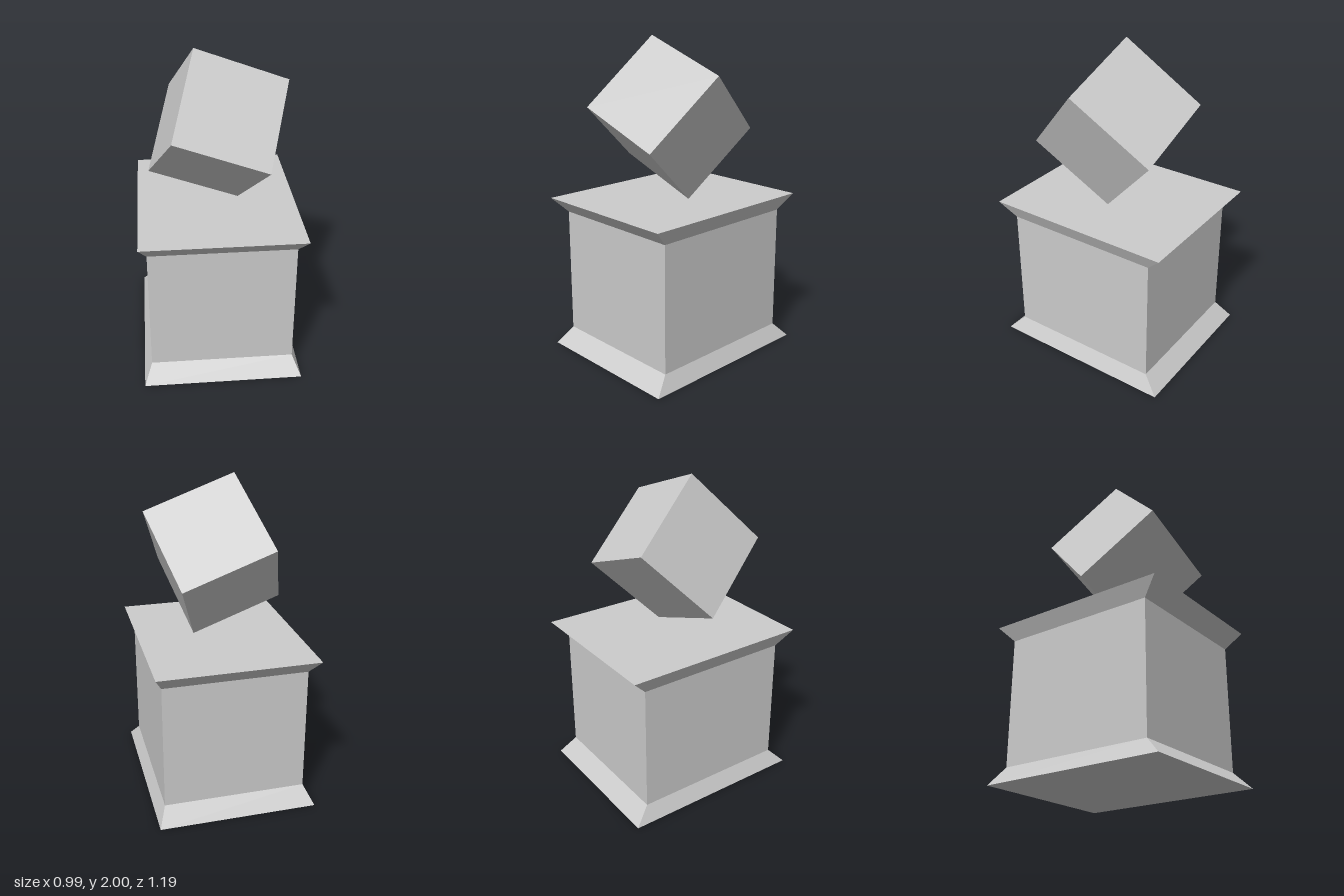
import * as THREE from 'three';

const material = new THREE.MeshStandardMaterial({ color: 0xcccccc, flatShading: true });

// Rectangular block whose top and bottom flare outwards: rings of [y, halfX, halfZ]
function flaredBlock(rings) {
  const geometry = new THREE.BoxGeometry(2, rings.length - 1, 2, 1, rings.length - 1, 1);
  const p = geometry.attributes.position;
  for (let i = 0; i < p.count; i++) {
    const [y, halfX, halfZ] = rings[Math.round(p.getY(i) + (rings.length - 1) / 2)];
    p.setXYZ(i, Math.sign(p.getX(i)) * halfX, y, Math.sign(p.getZ(i)) * halfZ);
  }
  geometry.computeVertexNormals();
  return geometry;
}

export function createModel() {
  const model = new THREE.Group();
  model.name = 'cubeOnPedestal';

  // Pedestal with flared foot and cap
  const pedestal = new THREE.Mesh(
    flaredBlock([
      [0, 0.495, 0.595],
      [0.1, 0.447, 0.496],
      [0.9, 0.447, 0.496],
      [1, 0.495, 0.595],
    ]),
    material
  );
  pedestal.name = 'pedestal';
  model.add(pedestal);

  // Tilted cube hovering just above the cap
  const cube = new THREE.Mesh(new THREE.BoxGeometry(0.595, 0.595, 0.595), material);
  cube.name = 'tiltedCube';
  cube.position.set(0.005, 1.504, 0.03);
  cube.rotation.set(THREE.MathUtils.degToRad(-41.6), 0, THREE.MathUtils.degToRad(-20), 'ZXY');
  model.add(cube);

  return model;
}
